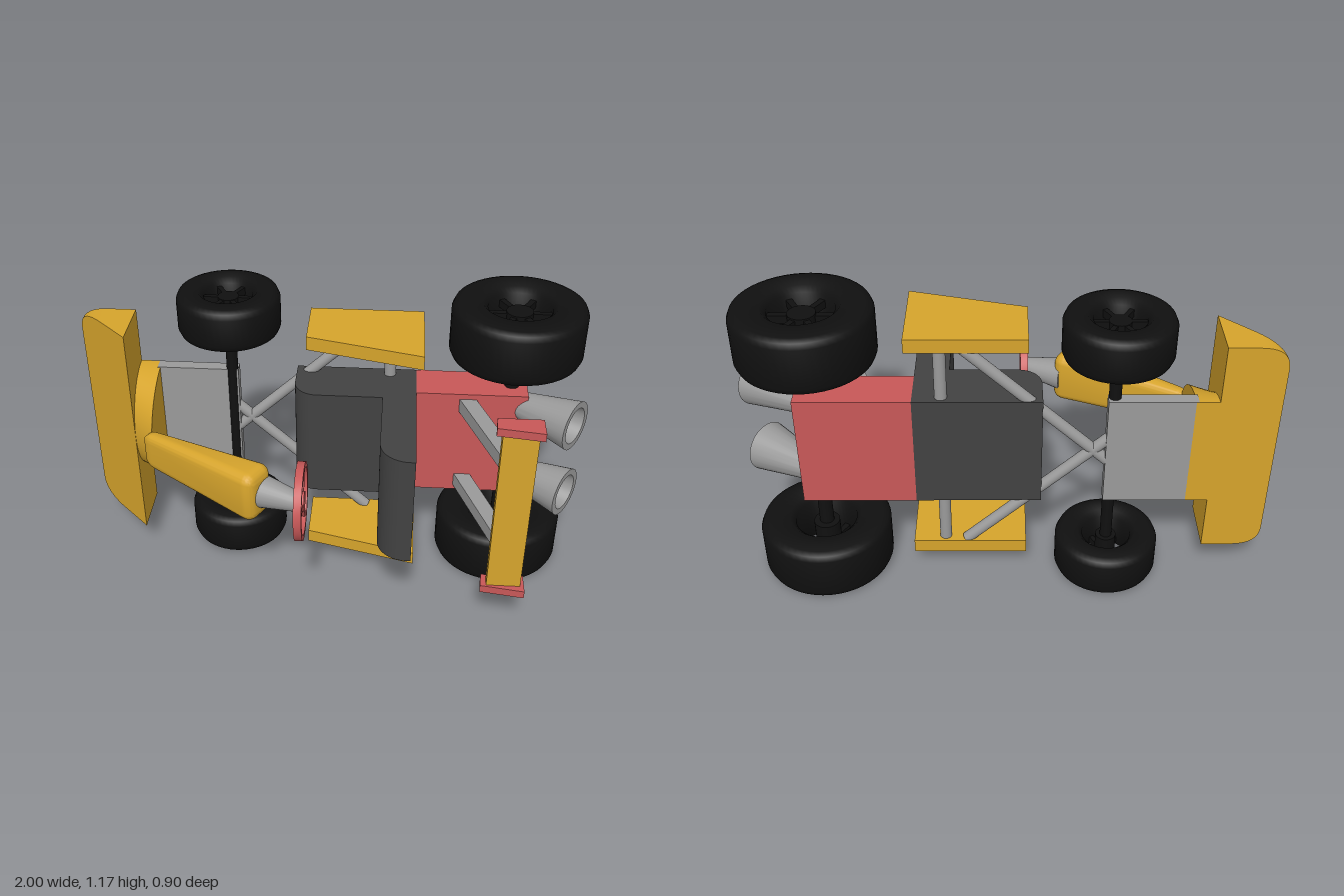
import * as THREE from 'three';
import { toCreasedNormals } from 'three/addons/utils/BufferGeometryUtils.js';
import { RoundedBoxGeometry } from 'three/addons/geometries/RoundedBoxGeometry.js';

// A kart resting on its side: nose at -x, its own up is +z, axles run along y.
const MID = 0.583;   // y of the kart's centre plane
const FLOOR = -0.285; // z of the kart's underside

const mat = (color) => new THREE.MeshStandardMaterial({ color, side: THREE.DoubleSide });

export function createModel() {
  const model = new THREE.Group();
  model.name = 'kart';
  const yellow = mat(0xd6a42c), red = mat(0xc85858), grey = mat(0x9a9a9a);
  const dark = mat(0x424242), black = mat(0x101010);

  const add = (name, geometry, material, parent = model) => {
    const mesh = new THREE.Mesh(geometry, material);
    mesh.name = name;
    parent.add(mesh);
    return mesh;
  };

  // Box given by its limits
  const block = (name, x0, x1, y0, y1, z0, z1, material) => {
    const g = new THREE.BoxGeometry(x1 - x0, y1 - y0, z1 - z0);
    g.translate((x0 + x1) / 2, (y0 + y1) / 2, (z0 + z1) / 2);
    return add(name, g, material);
  };

  // Outline in x/z, extruded across the kart from y0 to y1
  const slab = (name, shape, y0, y1, material) => {
    const g = new THREE.ExtrudeGeometry(shape, { depth: y1 - y0, bevelEnabled: false, curveSegments: 10 });
    g.rotateX(Math.PI / 2); // shape y -> z, depth -> -y
    g.translate(0, y1, 0);
    return add(name, toCreasedNormals(g, 0.6), material);
  };
  const poly = (pts) => new THREE.Shape(pts.map(([x, z]) => new THREE.Vector2(x, z)));

  // Turn a y-aligned geometry so that it runs from a to b
  const along = (mesh, a, b) => {
    const dir = new THREE.Vector3().subVectors(b, a).normalize();
    mesh.quaternion.setFromUnitVectors(new THREE.Vector3(0, 1, 0), dir);
    mesh.position.addVectors(a, b).multiplyScalar(0.5);
    return mesh;
  };
  const rod = (name, a, b, r0, r1, material) => {
    const A = new THREE.Vector3(...a), B = new THREE.Vector3(...b);
    return along(add(name, new THREE.CylinderGeometry(r1, r0, A.distanceTo(B), 24), material), A, B);
  };

  // Wheels: rounded tyre ring, hub and spokes
  const wheel = (name, x, y, z, R, width, side) => {
    const group = new THREE.Group();
    group.name = name;
    const h = width / 2, c = 0.03, inner = R * 0.47;
    const pts = [[inner, -h + 0.02], [inner + 0.02, -h], [R - c, -h], [R - c * 0.3, -h + c * 0.3], [R, -h + c],
      [R, h - c], [R - c * 0.3, h - c * 0.3], [R - c, h], [inner + 0.02, h], [inner, h - 0.02], [inner, -h + 0.02]];
    const tyre = new THREE.LatheGeometry(pts.map(([r, v]) => new THREE.Vector2(r, v)), 48);
    add('tyre', toCreasedNormals(tyre, 0.85), black, group);
    add('hub', new THREE.CylinderGeometry(R * 0.2, R * 0.2, width * 0.7, 24), black, group);
    for (let i = 0; i < 6; i++) {
      const spoke = new THREE.BoxGeometry(inner, 0.03, R * 0.09);
      spoke.translate(inner / 2 + 0.01, side * width * 0.25, 0);
      spoke.rotateY(i * Math.PI / 3);
      add('spoke', spoke, black, group);
    }
    group.position.set(x, y, z);
    model.add(group);
  };
  for (const s of [-1, 1]) {
    const which = s < 0 ? 'right' : 'left';
    wheel(which + 'FrontWheel', -0.4, MID + s * 0.488, -0.25, 0.2, 0.172, s);
    wheel(which + 'RearWheel', 0.705, MID + s * 0.474, -0.2, 0.255, 0.218, s);
  }
  rod('frontAxle', [-0.4, 0.07, -0.25], [-0.4, 1.1, -0.25], 0.023, 0.023, black);
  rod('rearAxle', [0.705, 0.08, -0.197], [0.705, 1.08, -0.197], 0.028, 0.028, black);

  // Front floor plate and engine block
  block('frontPlate', -0.7, -0.375, 0.355, 0.811, FLOOR, -0.235, grey);
  block('engine', 0.335, 0.765, 0.355, 0.811, FLOOR, -0.113, red);

  // Wedge bumper: outline with two rounded corners, its upper face sloped
  const outline = new THREE.Shape();
  const yb = 0.13, yt = 1.04, r = 0.11;
  outline.moveTo(-0.775, yb);
  outline.lineTo(-0.775, yt);
  outline.lineTo(-1 + r, yt);
  outline.quadraticCurveTo(-1, yt, -1, yt - r * 0.8);
  outline.lineTo(-1, yb + r * 0.8);
  outline.quadraticCurveTo(-1, yb, -1 + r, yb);
  outline.closePath();
  const wedge = new THREE.ExtrudeGeometry(outline, { depth: 1, bevelEnabled: false, curveSegments: 10 });
  const wp = wedge.attributes.position;
  for (let i = 0; i < wp.count; i++) {
    wp.setZ(i, FLOOR + (wp.getZ(i) > 0.5 ? 0.003 + (wp.getX(i) + 1) * 0.985 : 0));
  }
  add('frontBumper', toCreasedNormals(wedge, 0.6), yellow);

  // Arched bulkhead behind the bumper, rising towards the rear
  const arch = new THREE.Shape();
  arch.moveTo(0.228, 0);
  arch.absellipse(0, 0, 0.228, 1, 0, Math.PI, false, 0);
  arch.closePath();
  const bulk = new THREE.ExtrudeGeometry(arch, { depth: 0.09, bevelEnabled: false, curveSegments: 28 });
  const bp = bulk.attributes.position;
  for (let i = 0; i < bp.count; i++) {
    const x = -0.78 + bp.getZ(i);
    bp.setXYZ(i, x, MID + bp.getX(i), FLOOR + bp.getY(i) * (x + 1) * 0.985);
  }
  add('bulkhead', toCreasedNormals(bulk, 0.5), yellow);

  // Steering housing: a rounded box that widens towards the driver
  const length = 0.56;
  const housing = new RoundedBoxGeometry(0.215, length, 0.15, 5, 0.045);
  const hp = housing.attributes.position;
  for (let i = 0; i < hp.count; i++) {
    const t = hp.getY(i) / length + 0.5;
    hp.setX(i, hp.getX(i) * (0.7 + 0.3 * t));
    hp.setZ(i, hp.getZ(i) * (0.34 + 0.66 * t));
  }
  housing.computeVertexNormals();
  const column = add('steeringHousing', toCreasedNormals(housing, 0.6), yellow);
  const dir = new THREE.Vector3(0.48, 0, 0.27).normalize();
  const across = new THREE.Vector3(0, -1, 0);
  column.quaternion.setFromRotationMatrix(
    new THREE.Matrix4().makeBasis(across, dir, new THREE.Vector3().crossVectors(across, dir)));
  column.position.set(-0.47, MID + 0.002, 0.14);
  rod('steeringColumn', [-0.24, MID, 0.247], [-0.08, MID, 0.312], 0.066, 0.036, grey);

  // Steering wheel
  const steering = new THREE.Group();
  steering.name = 'steeringWheel';
  const ring = [[0.128, -0.015], [0.148, -0.015], [0.148, 0.015], [0.128, 0.015], [0.128, -0.015]];
  const rim = new THREE.LatheGeometry(ring.map(([a, b]) => new THREE.Vector2(a, b)), 40);
  add('rim', toCreasedNormals(rim, 0.6), red, steering);
  add('hub', new THREE.CylinderGeometry(0.038, 0.038, 0.03, 24), red, steering);
  for (let i = 0; i < 3; i++) {
    const spoke = new THREE.BoxGeometry(0.022, 0.022, 0.13);
    spoke.translate(0, 0, 0.07);
    spoke.rotateY(i * Math.PI * 2 / 3);
    add('spoke', spoke, red, steering);
  }
  steering.rotation.z = -Math.PI / 2;
  steering.position.set(-0.08, MID, 0.302);
  model.add(steering);

  // Seat: L-shaped side outline with rounded front corners
  const seat = new THREE.Shape();
  seat.moveTo(-0.14, FLOOR);
  seat.lineTo(0.335, FLOOR);
  seat.lineTo(0.335, 0.348);
  seat.absarc(0.315, 0.238, 0.11, Math.PI / 2, Math.PI, false);
  seat.lineTo(0.205, -0.07);
  seat.lineTo(-0.06, -0.07);
  seat.absarc(-0.05, -0.16, 0.09, Math.PI / 2, Math.PI, false);
  seat.closePath();
  slab('seat', seat, 0.355, 0.811, dark);

  // Parts mirrored across the centre plane
  for (const s of [-1, 1]) {
    const span = (a, b) => [MID + s * a, MID + s * b].sort((p, q) => p - q);

    // Side pod with sloping upper edge
    const pod = poly([[-0.085, FLOOR], [0.353, FLOOR], [0.353, 0.062], [-0.085, -0.055]]);
    slab('sidePod', pod, ...span(0.435, 0.49), yellow);

    // Diagonal frame tube, crossing its twin ahead of the seat
    rod('frameDiagonal', [0.147, MID + s * 0.44, -0.26], [-0.4, MID - s * 0.065, -0.26], 0.022, 0.022, grey);

    // Flared, hollow exhaust
    const a = new THREE.Vector3(0.725, MID + s * 0.158, -0.177);
    const b = new THREE.Vector3(0.94, MID + s * 0.158, -0.03);
    const L = a.distanceTo(b);
    const flare = [[0, -L / 2], [0.05, -L / 2], [0.099, L / 2], [0.073, L / 2], [0.045, -L * 0.2], [0, -L * 0.2]];
    const horn = new THREE.LatheGeometry(flare.map(([p, q]) => new THREE.Vector2(p, q)), 36);
    along(add('exhaust', toCreasedNormals(horn, 0.6), grey), a, b);

    // Rear wing strut and end plate
    const strut = poly([[0.485, -0.16], [0.55, -0.16], [0.72, 0.3], [0.655, 0.3]]);
    slab('wingStrut', strut, ...span(0.15, 0.206), grey);
    const plate = poly([[0.61, 0.27], [0.772, 0.27], [0.772, 0.36], [0.605, 0.335]]);
    slab('wingEndPlate', plate, ...span(0.346, 0.378), red);
  }
  rod('frameCrossTube', [0.23, 0.14, -0.25], [0.23, 1.03, -0.25], 0.023, 0.023, grey);
  block('rearWing', 0.628, 0.757, 0.237, 0.93, 0.294, 0.33, yellow);

  return model;
}
